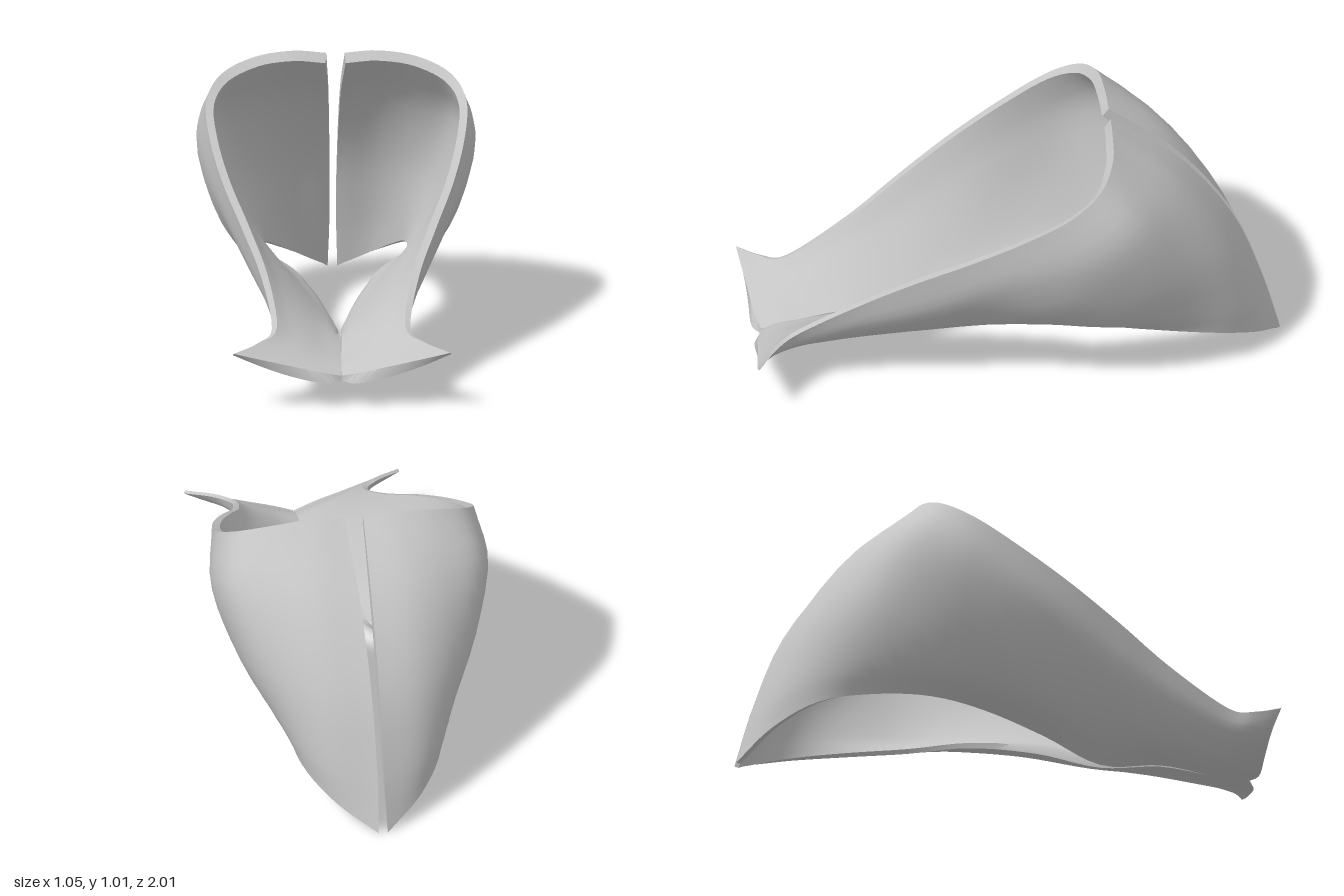
import * as THREE from 'three';
import { toCreasedNormals } from 'three/addons/utils/BufferGeometryUtils.js';

const NU = 55, NV = 14;

// Cross-sections of the outer skin, front to rear seam; each runs from lower rim to upper rim.
const front = [
  [0, .09, .955, .06, .088, .985, .18, .113, .985, .3, .155, .988, .41, .205, 1],
  [0, .09, .91, .08, .093, .915, .18, .125, .92, .265, .175, .92, .315, .23, .925],
  [0, .1, .81, .1, .108, .81, .18, .15, .81, .235, .2, .81, .26, .262, .83],
  [.006, .125, .62, .12, .14, .6, .21, .2, .6, .275, .29, .6, .297, .4, .6],
  [.012, .105, .39, .14, .16, .37, .255, .255, .36, .345, .38, .37, .365, .53, .4],
  [.08, .175, .16, .23, .23, .13, .35, .355, .13, .43, .51, .15, .433, .65, .2],
];
const rear = [
  [.17, .22, -.08, .31, .27, -.1, .43, .41, -.1, .495, .61, -.08, .478, .765, 0],
  [.26, .22, -.3, .37, .29, -.32, .46, .46, -.32, .523, .69, -.27, .488, .865, -.17],
  [.285, .2, -.52, .35, .29, -.54, .43, .5, -.52, .48, .77, -.42, .43, .94, -.285],
  [.265, .16, -.73, .29, .28, -.73, .33, .52, -.67, .345, .79, -.53, .305, .99, -.342],
  [.165, .085, -.89, .18, .25, -.865, .19, .53, -.775, .19, .81, -.595, .16, 1.01, -.355],
  [.018, 0, -1, .012, .25, -.93, .015, .53, -.82, .022, .8, -.62, .035, 1, -.36],
];

// Smooth grid of points through the sections
function outerGrid() {
  const spline = (pts) => new THREE.CatmullRomCurve3(pts, false, 'catmullrom', 0.5);
  const rows = [...front, ...rear].map((s) => {
    const pts = [];
    for (let k = 0; k < s.length; k += 3) pts.push(new THREE.Vector3(s[k], s[k + 1], s[k + 2]));
    const curve = spline(pts);
    return Array.from({ length: NV + 1 }, (_, j) => curve.getPoint(j / NV));
  });
  const columns = Array.from({ length: NV + 1 }, (_, j) => spline(rows.map((r) => r[j])));
  return Array.from({ length: NU + 1 }, (_, i) => columns.map((c) => c.getPoint(i / NU)));
}

// One row of the inner skin: offset along the normals, filled out to a flatter face on the front strap
function innerRow(outer, i) {
  const { lerp, smoothstep } = THREE.MathUtils;
  const u = i / NU, back = smoothstep(u, 0.3, 0.6);
  const lower = lerp(0.02, 0.045, smoothstep(u, 0, 0.15)) - 0.027 * back;
  const upper = 0.012 + 0.018 * smoothstep(u, 0, 0.4) + 0.012 * smoothstep(u, 0.6, 0.8);
  const row = outer[i].map((p, j) => {
    const v = j / NV;
    const du = outer[Math.min(i + 1, NU)][j].clone().sub(outer[Math.max(i - 1, 0)][j]);
    const dv = outer[i][Math.min(j + 1, NV)].clone().sub(outer[i][Math.max(j - 1, 0)]);
    const thickness = lerp(lower, upper, v) + 0.02 * Math.sin(Math.PI * v);
    return p.clone().addScaledVector(du.cross(dv).normalize(), -thickness);
  });
  const flat = 0.7 * (1 - smoothstep(u, 0.35, 0.65));
  const first = row[0].clone(), last = row[NV].clone();
  return row.map((p, j) => {
    p.lerp(first.clone().lerp(last, j / NV), flat);
    // Keep each half on its own side of the gap
    p.x = Math.max(p.x, u > 0.5 ? outer[NU][j].x : outer[i][0].x);
    return p;
  });
}

// Thick shell: outer skin, inner skin, rims and end caps
function shellGeometry(side) {
  const outer = outerGrid();
  const positions = [], index = [];
  const put = (p) => positions.push(side * Math.max(p.x, 0), p.y, p.z);
  const tri = (a, b, c) => (side > 0 ? index.push(a, b, c) : index.push(a, c, b));
  const quad = (a, b, c, d) => { tri(a, b, c); tri(a, c, d); };

  for (let i = 0; i <= NU; i++) {
    outer[i].forEach(put);
    innerRow(outer, i).reverse().forEach(put);
  }

  const ring = 2 * (NV + 1);
  for (let i = 0; i < NU; i++) {
    for (let j = 0; j < ring; j++) {
      const k = (j + 1) % ring;
      quad(i * ring + j, (i + 1) * ring + j, (i + 1) * ring + k, i * ring + k);
    }
  }
  const end = NU * ring;
  for (let j = 0; j < NV; j++) {
    const a = j, b = j + 1, c = ring - 2 - j, d = ring - 1 - j;
    quad(a, b, c, d);
    quad(end + d, end + c, end + b, end + a);
  }

  const geometry = new THREE.BufferGeometry();
  geometry.setAttribute('position', new THREE.Float32BufferAttribute(positions, 3));
  geometry.setIndex(index);
  return toCreasedNormals(geometry, 0.9);
}

export function createModel() {
  const grey = new THREE.MeshStandardMaterial({ color: 0xc4c4c4 });
  grey.name = 'light grey';
  const model = new THREE.Group();
  model.name = 'splitShell';
  for (const [name, side] of [['leftShell', 1], ['rightShell', -1]]) {
    const shell = new THREE.Mesh(shellGeometry(side), grey);
    shell.name = name;
    model.add(shell);
  }
  return model;
}
